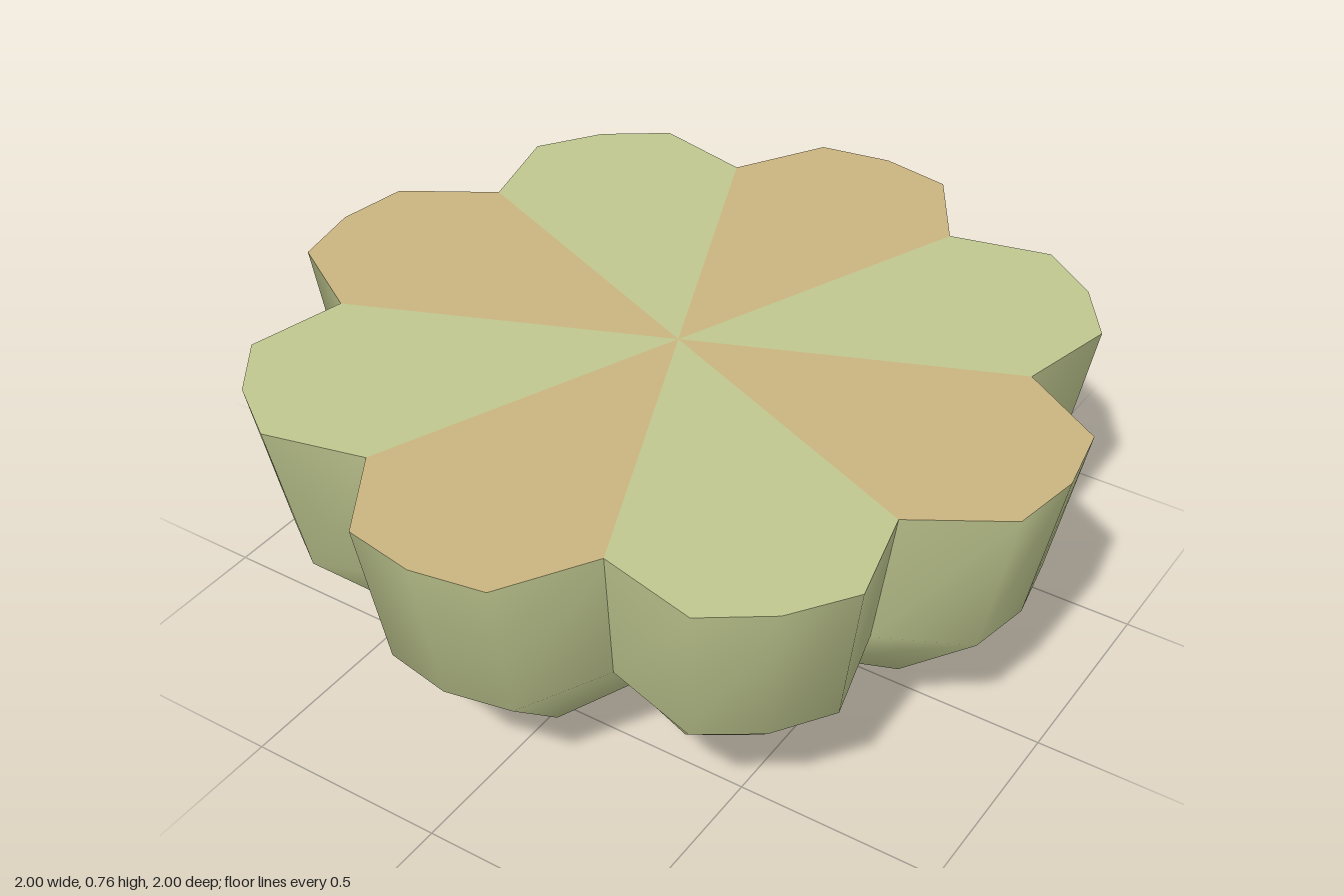
import * as THREE from 'three';

const skin = new THREE.MeshStandardMaterial({ color: 0xbfc78f });
skin.name = 'pale green';
const flesh = new THREE.MeshStandardMaterial({ color: 0xcab47f });
flesh.name = 'tan';

// Outline of one lobe: angle in degrees, radius factor, share of valley lift
const OUTLINE = [
  [-22.5, 0.814, 1], [-10.4, 0.985, 0.15], [0, 1, 0], [10.4, 0.985, 0.15], [22.5, 0.814, 1],
];
// Rings from rim to base: crest radius, crest height, valley lift
const RINGS = [
  [1, 0.76, 0], [0.92, 0.365, 0.025], [0.71, 0.165, 0.035], [0.45, 0.065, 0.045],
  [0.17, 0.05, 0.03], [0.205, 0.025, 0.04], [0.15, 0, 0.04], [0, 0.02, 0],
];

function makeGeometry(positions, index) {
  const g = new THREE.BufferGeometry();
  g.setAttribute('position', new THREE.Float32BufferAttribute(positions, 3));
  g.setIndex(index);
  g.computeVertexNormals();
  return g;
}

function ringPoint([r, y, lift], [deg, k, share]) {
  const a = THREE.MathUtils.degToRad(deg);
  return [r * k * Math.sin(a), y + lift * share, r * k * Math.cos(a)];
}

// Curved outer wall of one lobe, facing +z
function lobeWall() {
  const n = OUTLINE.length, pos = [], idx = [];
  for (const ring of RINGS) for (const o of OUTLINE) pos.push(...ringPoint(ring, o));
  for (let i = 0; i < RINGS.length - 1; i++) {
    for (let j = 0; j < n - 1; j++) {
      const a = i * n + j, b = a + 1, c = a + n, d = c + 1;
      idx.push(a, c, b);
      if (i < RINGS.length - 2) idx.push(b, c, d);
    }
  }
  return makeGeometry(pos, idx);
}

// Flat top wedge of one lobe
function lobeTop() {
  const pos = [0, RINGS[0][1], 0], idx = [];
  OUTLINE.forEach((o, j) => {
    pos.push(...ringPoint(RINGS[0], o));
    if (j > 0) idx.push(0, j, j + 1);
  });
  return makeGeometry(pos, idx);
}

export function createModel() {
  const model = new THREE.Group();
  model.name = 'lobedBowl';
  const wall = lobeWall(), top = lobeTop();
  for (let i = 0; i < 8; i++) {
    const lobe = new THREE.Group();
    lobe.name = `lobe${i + 1}`;
    const side = new THREE.Mesh(wall, skin);
    side.name = 'lobeWall';
    // Top wedges alternate in colour
    const cap = new THREE.Mesh(top, i % 2 ? skin : flesh);
    cap.name = 'lobeTop';
    lobe.add(side, cap);
    lobe.rotation.y = i * Math.PI / 4;
    model.add(lobe);
  }
  return model;
}
